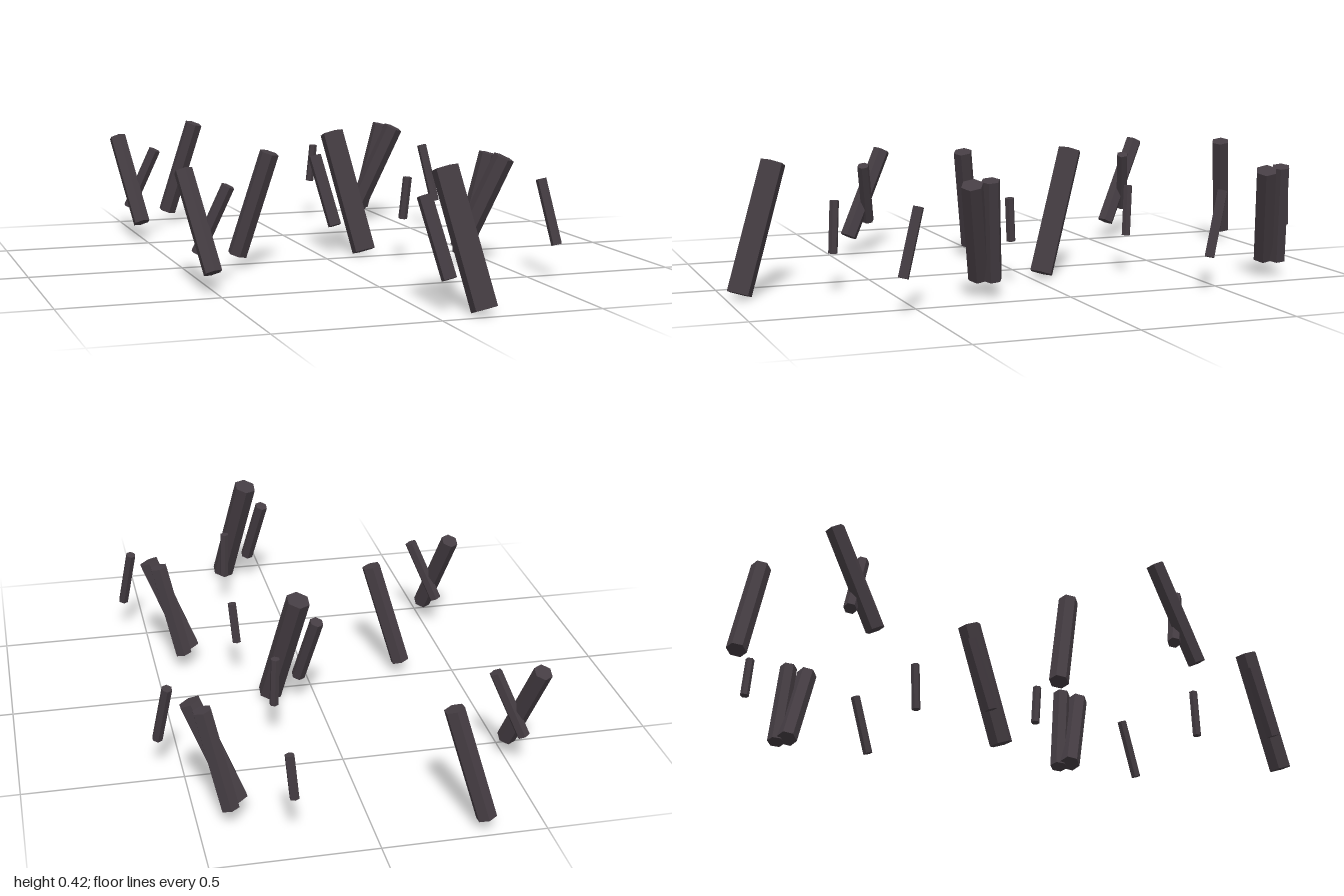
import * as THREE from 'three';

// Each column: bottom centre, top centre, radius
const COLUMNS = [
  ['largeColumn', [0.148, 0.015, 0.955], [0.076, 0.41, 0.825], 0.04],
  ['companionColumn', [0.062, 0.098, 0.9], [0.017, 0.33, 0.817], 0.023],
  ['smallColumn', [0.187, 0.13, 0.668], [0.183, 0.295, 0.66], 0.015],
  ['smallLeaningColumn', [0.235, 0.143, 0.095], [0.247, 0.283, 0.105], 0.015],
  ['tallLeaningColumn', [-0.323, 0.043, 0.036], [-0.229, 0.382, 0.095], 0.032],
  ['sideColumn', [-0.508, 0.065, 0.428], [-0.562, 0.362, 0.287], 0.03],
  ['crossingColumn', [-0.535, 0.113, 0.348], [-0.448, 0.322, 0.388], 0.021],
  ['wideLeaningColumn', [0.375, 0.06, 0.255], [0.498, 0.365, 0.32], 0.035],
  ['pairedColumn', [0.402, 0.055, 0.22], [0.472, 0.372, 0.252], 0.03],
  ['slimColumn', [0.572, 0.112, 0.56], [0.542, 0.315, 0.502], 0.017],
];

// Hexagonal prism spanning two points
function column(name, bottom, top, radius, material) {
  const a = new THREE.Vector3(...bottom);
  const b = new THREE.Vector3(...top);
  const axis = b.clone().sub(a);
  const mesh = new THREE.Mesh(new THREE.CylinderGeometry(radius, radius, axis.length(), 6), material);
  mesh.name = name;
  mesh.position.copy(a).add(b).multiplyScalar(0.5);
  mesh.quaternion.setFromUnitVectors(new THREE.Vector3(0, 1, 0), axis.normalize());
  return mesh;
}

export function createModel() {
  const model = new THREE.Group();
  model.name = 'basaltColumns';
  const basalt = new THREE.MeshStandardMaterial({ color: 0x453d43, flatShading: true });
  basalt.name = 'dark basalt';

  // The same cluster repeats one unit further back
  for (const [name, offset] of [['frontCluster', 0], ['backCluster', -1]]) {
    const cluster = new THREE.Group();
    cluster.name = name;
    cluster.position.z = offset;
    for (const [part, bottom, top, radius] of COLUMNS) {
      cluster.add(column(part, bottom, top, radius, basalt));
    }
    model.add(cluster);
  }
  return model;
}
